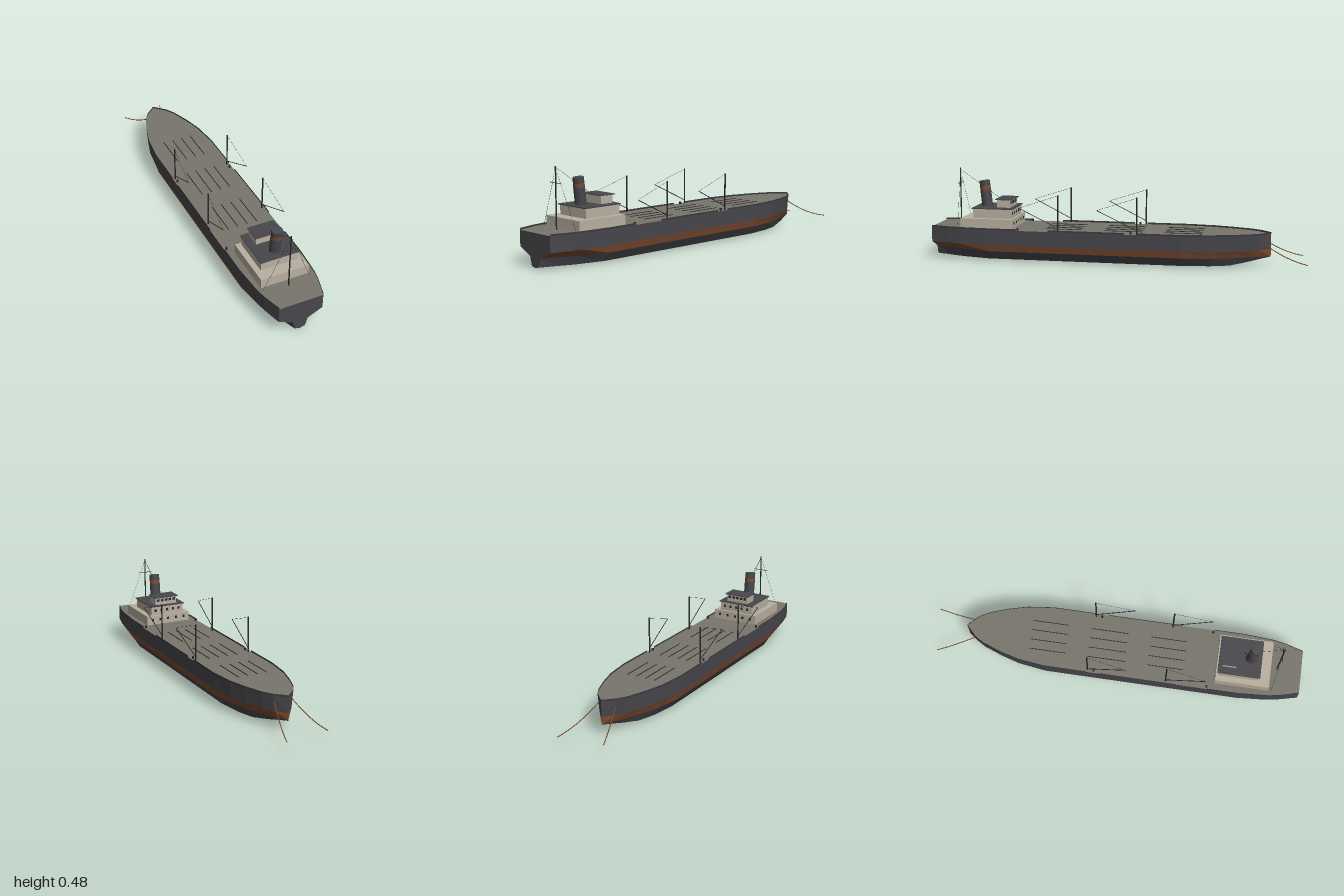
import * as THREE from 'three';

const mat = (name, color) => Object.assign(new THREE.MeshStandardMaterial({ color }), { name });

export function createModel() {
  const ship = new THREE.Group();
  ship.name = 'cargoShip';
  const hullGrey = mat('hull grey', 0x47464b);
  const deckGrey = mat('deck grey', 0x78756b);
  const rust = mat('rust red', 0x7c4a30);
  const cream = mat('cabin cream', 0xb8b0a0);
  const black = mat('rigging black', 0x29292b);
  const railGrey = mat('bulwark grey', 0x3b3b3f);
  railGrey.side = THREE.DoubleSide;

  const add = (name, geo, material, parent = ship) => {
    const m = new THREE.Mesh(geo, material);
    m.name = name;
    parent.add(m);
    return m;
  };
  const box = (name, material, x0, x1, y0, y1, z0, z1, parent) => {
    const m = add(name, new THREE.BoxGeometry(x1 - x0, y1 - y0, z1 - z0), material, parent);
    m.position.set((x0 + x1) / 2, (y0 + y1) / 2, (z0 + z1) / 2);
    return m;
  };
  // Straight round bar between two points
  const rod = (name, a, b, r, material = black, sides = 6, parent = ship) => {
    const p = new THREE.Vector3(...a), q = new THREE.Vector3(...b);
    const d = q.clone().sub(p);
    const m = add(name, new THREE.CylinderGeometry(r, r, d.length(), sides), material, parent);
    m.position.copy(p).add(q).multiplyScalar(0.5);
    m.quaternion.setFromUnitVectors(new THREE.Vector3(0, 1, 0), d.normalize());
    return m;
  };

  // Hull stations, stern to bow: z, half-widths at deck, band top, band bottom, chine; chine y, keel y
  const DECK = 0.172, RAIL = 0.181;
  const stations = [
    [1.0, 0.118, 0.118, 0.040, 0.028, 0.010, 0.003],
    [0.9, 0.146, 0.143, 0.085, 0.065, 0.010, 0.003],
    [0.84, 0.157, 0.154, 0.110, 0.088, 0.010, 0.002],
    [0.68, 0.168, 0.166, 0.155, 0.125, 0.010, 0.0],
    [-0.36, 0.168, 0.166, 0.155, 0.125, 0.010, 0.0],
    [-0.5, 0.151, 0.147, 0.132, 0.105, 0.010, 0.002],
    [-0.6, 0.124, 0.118, 0.100, 0.078, 0.012, 0.006],
    [-0.7, 0.088, 0.080, 0.060, 0.045, 0.031, 0.028],
    [-0.75, 0.058, 0.050, 0.034, 0.024, 0.042, 0.040],
    [-0.806, 0, 0, 0, 0, 0.053, 0.052],
  ];
  const rows = {
    centre: s => [0, DECK, s[0]],
    rim: s => [s[1], DECK, s[0]],
    bandTop: s => [s[2], 0.092, s[0]],
    bandLow: s => [s[3], 0.055, s[0]],
    chine: s => [s[4], s[5], s[0]],
    keel: s => [0, s[6], s[0]],
  };
  // Mirrored flat-shaded strip between two rows of the hull
  const strip = (name, upper, lower, material, list = stations) => {
    const pos = [];
    for (let i = 0; i < list.length - 1; i++) {
      const a = upper(list[i]), b = lower(list[i]);
      const c = lower(list[i + 1]), d = upper(list[i + 1]);
      const m = ([x, y, z]) => [-x, y, z];
      for (const p of [a, b, c, a, c, d]) pos.push(...p);
      for (const p of [a, c, b, a, d, c]) pos.push(...m(p));
    }
    const g = new THREE.BufferGeometry();
    g.setAttribute('position', new THREE.Float32BufferAttribute(pos, 3));
    g.computeVertexNormals();
    return add(name, g, material);
  };
  strip('deck', rows.centre, rows.rim, deckGrey);
  strip('topsides', rows.rim, rows.bandTop, hullGrey);
  strip('waterlineBand', rows.bandTop, rows.bandLow, rust);
  strip('bilge', rows.bandLow, rows.chine, hullGrey);
  strip('bottom', rows.chine, rows.keel, hullGrey);

  // Flat stern plate
  const half = ['rim', 'bandTop', 'bandLow', 'chine', 'keel'].map(k => rows[k](stations[0]));
  const outline = [...half, ...half.slice(0, 4).reverse().map(([x, y]) => [-x, y])];
  const transom = add('transom',
    new THREE.ShapeGeometry(new THREE.Shape(outline.map(([x, y]) => new THREE.Vector2(x, y)))), hullGrey);
  transom.position.z = 1;

  // Bulwark along the deck edge, with openings beside the masts
  const widthAt = z => {
    const i = Math.max(1, stations.findIndex(s => s[0] <= z));
    const [a, b] = [stations[i - 1], stations[i]];
    return THREE.MathUtils.mapLinear(z, a[0], b[0], a[1], b[1]);
  };
  for (const [z1, z0] of [[1, 0.516], [0.345, -0.06], [-0.13, -0.806]]) {
    const zs = [z1, ...stations.map(s => s[0]).filter(z => z < z1 && z > z0), z0];
    strip('bulwark', s => [s[1], RAIL, s[0]], s => [s[1], DECK, s[0]], railGrey, zs.map(z => [z, widthAt(z)]));
  }

  // Hatch rails on the deck
  for (const [z0, z1] of [[-0.455, -0.26], [-0.14, 0.065], [0.185, 0.38]])
    for (const x of [-0.08, -0.027, 0.027, 0.08])
      box('hatchRail', black, x - 0.0015, x + 0.0015, DECK, DECK + 0.003, z0, z1);

  // Cabin tiers and roofs
  const cabin = new THREE.Group();
  cabin.name = 'superstructure';
  ship.add(cabin);
  box('lowerCabin', cream, -0.129, 0.129, DECK, 0.223, 0.55, 0.835, cabin);
  box('upperCabin', cream, -0.099, 0.099, 0.223, 0.272, 0.562, 0.772, cabin);
  box('upperCabinRoof', hullGrey, -0.104, 0.104, 0.272, 0.277, 0.555, 0.78, cabin);
  box('wheelhouse', cream, -0.065, 0.065, 0.277, 0.318, 0.577, 0.65, cabin);
  box('wheelhouseRoof', hullGrey, -0.072, 0.072, 0.318, 0.322, 0.566, 0.658, cabin);

  // Windows facing the bow
  for (const [n, gap, y, z, w, h] of [
    [5, 0.048, 0.2, 0.55, 0.012, 0.014],
    [5, 0.036, 0.25, 0.562, 0.012, 0.014],
    [5, 0.024, 0.303, 0.577, 0.015, 0.014],
  ])
    for (let i = 0; i < n; i++) {
      const x = (i - (n - 1) / 2) * gap;
      box('window', black, x - w / 2, x + w / 2, y - h / 2, y + h / 2, z - 0.002, z + 0.001, cabin);
    }

  // Raked funnel with a painted band
  const funnel = (name, y0, y1, r, material) => {
    const at = y => [0, y, 0.722 + (y - 0.277) * 0.11];
    rod(name, at(y0), at(y1), r, material, 16, cabin);
  };
  funnel('funnelBase', 0.272, 0.364, 0.029, hullGrey);
  funnel('funnelBand', 0.364, 0.385, 0.0285, rust);
  funnel('funnelTop', 0.385, 0.413, 0.028, hullGrey);

  // Stern mast with yard and stays
  rod('sternMast', [0, DECK, 0.872], [0, 0.478, 0.872], 0.0035, black, 8);
  rod('yard', [-0.042, 0.397, 0.872], [0.042, 0.397, 0.872], 0.0015);
  rod('foreStay', [0, 0.472, 0.872], [0, 0.322, 0.655], 0.0007, black, 4);

  for (const s of [-1, 1]) {
    rod('sternStay', [0, 0.47, 0.872], [s * 0.126, DECK, 0.852], 0.0007, black, 4);
    // Cargo masts with booms
    for (const z of [0.293, -0.125]) {
      const tip = [s * 0.168, 0.294, z + 0.208];
      rod('cargoMast', [s * 0.154, DECK, z], [s * 0.154, 0.365, z], 0.004, black, 8);
      rod('boom', [s * 0.156, 0.192, z], tip, 0.002);
      rod('boomWire', [s * 0.154, 0.362, z], tip, 0.0007, black, 4);
    }
    // Bollards
    for (const z of [0.512, -0.093])
      rod('bollard', [s * 0.155, DECK, z], [s * 0.155, 0.184, z], 0.006, black, 8);
    // Sagging anchor chains
    const end = s > 0 ? [0.12, 0.037, -1.0] : [-0.12, 0.04, -0.97];
    const curve = new THREE.QuadraticBezierCurve3(
      new THREE.Vector3(s * 0.045, 0.148, -0.745),
      new THREE.Vector3(s * 0.084, 0.058, -0.87),
      new THREE.Vector3(...end));
    add('anchorChain', new THREE.TubeGeometry(curve, 14, 0.0025, 5), s > 0 ? rust : black).material = rust;
  }
  return ship;
}
